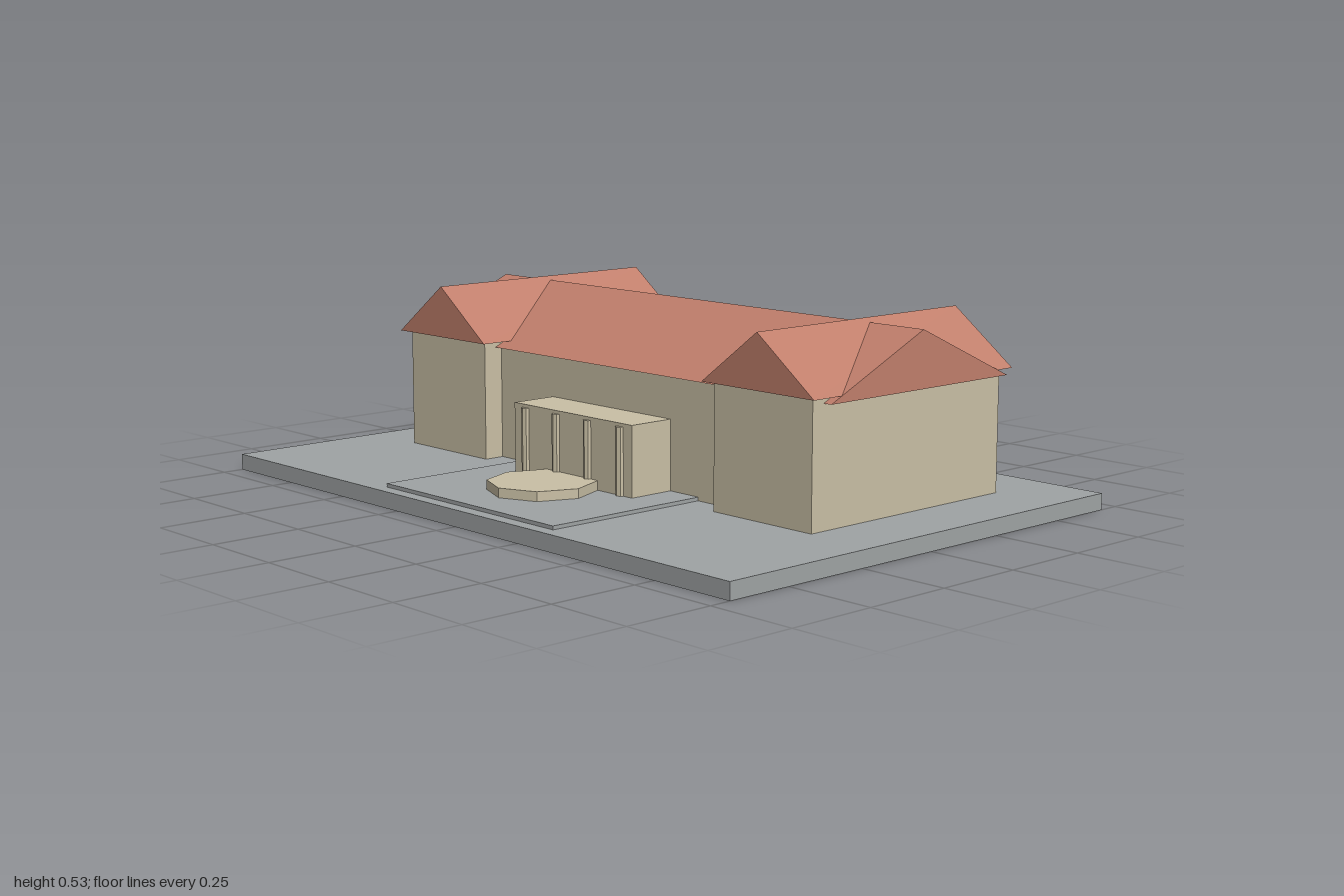
import * as THREE from 'three';

const stone = new THREE.MeshStandardMaterial({ color: 0xc9bfa5 });
stone.name = 'sandstone';
const tile = new THREE.MeshStandardMaterial({ color: 0xc07e6b });
tile.name = 'terracotta';
const paving = new THREE.MeshStandardMaterial({ color: 0x9fa3a4 });
paving.name = 'paving grey';
// Flat facets for the low-poly cylinders
stone.flatShading = true;

export function createModel() {
  const model = new THREE.Group();
  model.name = 'townHall';

  const add = (name, geometry, material) => {
    const mesh = new THREE.Mesh(geometry, material);
    mesh.name = name;
    model.add(mesh);
    return mesh;
  };

  // Box given by its extents on each axis
  const box = (name, material, [x0, x1], [y0, y1], [z0, z1]) =>
    add(name, new THREE.BoxGeometry(x1 - x0, y1 - y0, z1 - z0), material)
      .position.set((x0 + x1) / 2, (y0 + y1) / 2, (z0 + z1) / 2);

  // Closed gable prism, ridge along z, centred on its length
  const gable = (name, width, height, length) => {
    const shape = new THREE.Shape([
      new THREE.Vector2(-width / 2, 0),
      new THREE.Vector2(width / 2, 0),
      new THREE.Vector2(0, height),
    ]);
    const geometry = new THREE.ExtrudeGeometry(shape, { depth: length, bevelEnabled: false });
    geometry.translate(0, 0, -length / 2);
    return add(name, geometry, tile);
  };

  // Ground slab and forecourt
  box('groundSlab', paving, [-1, 1], [0, 0.045], [-0.69, 0.69]);
  box('forecourt', paving, [-0.345, 0.345], [0.045, 0.055], [0.16, 0.653]);

  // Main hall with its long roof
  box('mainHall', stone, [-0.8, 0.8], [0.045, 0.364], [-0.47, 0.16]);
  const mainRoof = gable('mainRoof', 0.674, 0.152, 1.66);
  mainRoof.rotation.y = Math.PI / 2;
  mainRoof.position.set(0, 0.363, -0.155);

  // End wings with crossing roofs
  for (const side of [-1, 1]) {
    const label = side > 0 ? 'left' : 'right';
    const xs = [side * 0.464, side * 0.805].sort((a, b) => a - b);
    box(label + 'Wing', stone, xs, [0.045, 0.381], [-0.49, 0.22]);
    gable(label + 'WingRoof', 0.39, 0.146, 0.754)
      .position.set(side * 0.635, 0.38, -0.135);
  }

  // Entrance porch with four engaged columns
  box('porch', stone, [-0.239, 0.239], [0.055, 0.247], [0.16, 0.296]);
  for (const x of [-0.192, -0.064, 0.064, 0.192]) {
    add('porchColumn', new THREE.CylinderGeometry(0.0145, 0.0145, 0.183, 8), stone)
      .position.set(x, 0.1465, 0.293);
  }

  // Octagonal plinth in the forecourt
  add('octagonPlinth', new THREE.CylinderGeometry(0.147, 0.147, 0.026, 8), stone)
    .position.set(0, 0.068, 0.4);

  return model;
}
